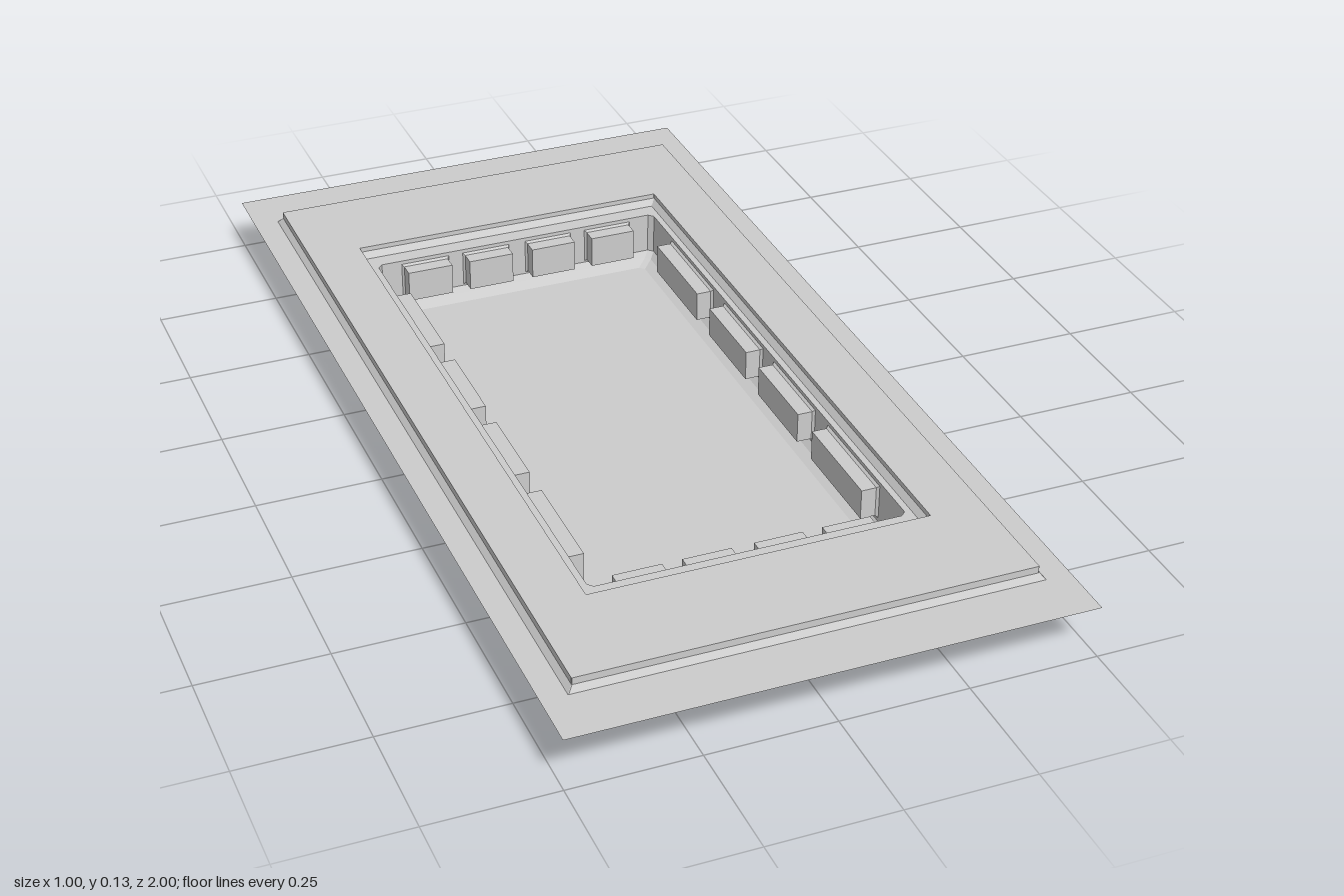
import * as THREE from 'three';

const material = new THREE.MeshStandardMaterial({ color: 0xcccccc, flatShading: true, side: THREE.DoubleSide });

// Skin between successive rings of equal point count; optionally fill the last ring
function loft(rings, cap = false) {
  const pos = [];
  const tri = (a, b, c) => pos.push(...a, ...b, ...c);
  for (let r = 0; r < rings.length - 1; r++) {
    const A = rings[r], B = rings[r + 1], n = A.length;
    for (let i = 0; i < n; i++) {
      const j = (i + 1) % n;
      tri(A[i], A[j], B[j]);
      tri(A[i], B[j], B[i]);
    }
  }
  if (cap) {
    const L = rings[rings.length - 1];
    for (let i = 1; i < L.length - 1; i++) tri(L[0], L[i], L[i + 1]);
  }
  const g = new THREE.BufferGeometry();
  g.setAttribute('position', new THREE.Float32BufferAttribute(pos, 3));
  g.computeVertexNormals();
  return g;
}

// Horizontal rectangle with corners cut by c
const level = (hx, hz, y, c = 0.001) => [
  [hx, y, hz - c], [hx, y, -hz + c], [hx - c, y, -hz], [-hx + c, y, -hz],
  [-hx, y, -hz + c], [-hx, y, hz - c], [-hx + c, y, hz], [hx - c, y, hz],
];

// Upright rectangle at depth z
const frame = (x, y, hw, hh, z) => [
  [x - hw, y - hh, z], [x + hw, y - hh, z], [x + hw, y + hh, z], [x - hw, y + hh, z],
];

const HX = 0.31, HZ = 0.62, TOP = 0.108, LOW = 0.022, CUT = 0.01;

// One tub wall facing +z, with pockets pressed inward; pockets: [centre, half width]
function makeWall(name, halfWidth, distance, pockets, bottom) {
  const wall = new THREE.Group();
  wall.name = name;
  const w = halfWidth - CUT, y = (bottom + 0.1) / 2, hh = (0.1 - bottom) / 2;
  const shape = new THREE.Shape([[-w, LOW], [w, LOW], [w, TOP], [-w, TOP]].map(p => new THREE.Vector2(...p)));
  for (const [x, hw] of pockets) {
    shape.holes.push(new THREE.Path(frame(x, y, hw, hh, 0).map(p => new THREE.Vector2(p[0], p[1]))));
    add(wall, 'wallPocket', loft([
      frame(x, y, hw, hh, distance),
      frame(x, y, hw - 0.004, hh - 0.004, distance - 0.005),
      frame(x, y, hw - 0.004, hh - 0.004, distance - 0.035),
    ], true));
  }
  const panel = new THREE.ShapeGeometry(shape);
  panel.translate(0, 0, distance);
  add(wall, 'wallPanel', panel);
  // Cut corner at the wall's right-hand end
  add(wall, 'wallCorner', loft([
    [[w, LOW, distance], [halfWidth, LOW, distance - CUT]],
    [[w, TOP, distance], [halfWidth, TOP, distance - CUT]],
  ]));
  return wall;
}

function add(parent, name, geometry) {
  const mesh = new THREE.Mesh(geometry, material);
  mesh.name = name;
  parent.add(mesh);
}

export function createModel() {
  const model = new THREE.Group();
  model.name = 'recessedTray';

  // Flat outer border
  add(model, 'outerFlange', loft([level(0.5, 1, 0.105), level(0.45, 0.89, 0.105)]));
  // Raised deck with its outer step and the inner step down to the tub
  add(model, 'raisedDeck', loft([
    level(0.45, 0.89, 0.105), level(0.44, 0.88, 0.116), level(0.44, 0.88, 0.13),
    level(0.333, 0.667, 0.13), level(0.333, 0.667, 0.12),
    level(0.323, 0.655, TOP), level(HX, HZ, TOP, CUT),
  ]));
  // Floor with bevelled edge
  add(model, 'tubFloor', loft([
    level(HX, HZ, LOW, CUT), level(0.299, 0.609, 0.01, CUT), level(0.278, 0.59, 0, CUT),
  ], true));

  // Four walls, each with a row of four pockets
  const shortRow = [[-0.205, 0.052], [-0.07, 0.052], [0.07, 0.052], [0.205, 0.052]];
  const longRow = [[-0.394, 0.114], [-0.125, 0.098], [0.125, 0.098], [0.394, 0.114]];
  ['frontWall', 'leftWall', 'backWall', 'rightWall'].forEach((name, k) => {
    const wall = k % 2
      ? makeWall(name, HZ, HX, longRow, 0.03)
      : makeWall(name, HX, HZ, shortRow, 0.026);
    wall.rotation.y = k * Math.PI / 2;
    model.add(wall);
  });
  return model;
}
